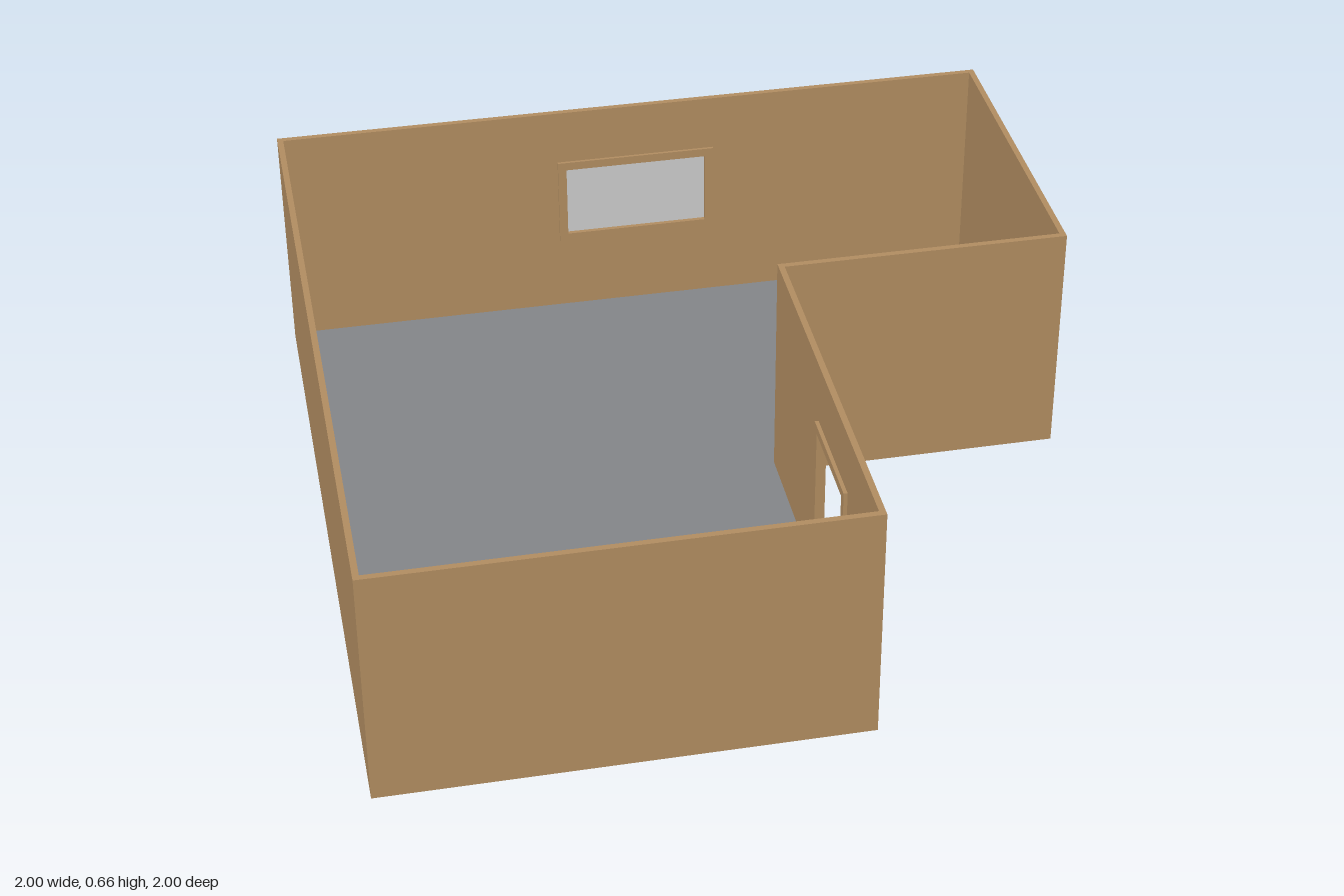
import * as THREE from 'three';

const H = 0.66, T = 0.016, FLOOR = 0.021;
const X = 0.237, Z = -0.08; // outer corner of the notch in the L plan
const material = (color) => new THREE.MeshStandardMaterial({ color });
const brown = material(0xb08c60), floorGrey = material(0x828488), grey = material(0xcccccc);

// Opening rectangles: [u0, u1, y0, y1], u runs along the wall
const door = [0.412, 0.672, FLOOR, 0.475];
const windowHole = [-0.195, 0.207, 0.265, 0.477];

function rectPath(path, [u0, u1, y0, y1]) {
  path.moveTo(u0, y0);
  path.lineTo(u1, y0);
  path.lineTo(u1, y1);
  path.lineTo(u0, y1);
  path.closePath();
  return path;
}

// Upright panel with an optional opening, extruded by its depth
function panel(name, outer, hole, depth, mat = brown) {
  const shape = rectPath(new THREE.Shape(), outer);
  if (hole) shape.holes.push(rectPath(new THREE.Path(), hole));
  const mesh = new THREE.Mesh(new THREE.ExtrudeGeometry(shape, { depth, bevelEnabled: false }), mat);
  mesh.name = name;
  return mesh;
}

// Panel running along x, growing towards +z from z
function alongX(mesh, z) {
  mesh.position.z = z;
  return mesh;
}

// Panel running along z, growing towards -x from x
function alongZ(mesh, x) {
  mesh.rotation.y = -Math.PI / 2;
  mesh.position.x = x;
  return mesh;
}

// Flat L-shaped slab, inset from the outer plan
function slab(name, inset, y, height, mat) {
  const i = inset, s = new THREE.Shape();
  const plan = [[-1 + i, -1 + i], [1 - i, -1 + i], [1 - i, Z - i], [X - i, Z - i], [X - i, 1 - i], [-1 + i, 1 - i]];
  s.setFromPoints(plan.map(([x, z]) => new THREE.Vector2(x, -z)));
  const geo = new THREE.ExtrudeGeometry(s, { depth: height, bevelEnabled: false });
  geo.rotateX(-Math.PI / 2);
  const mesh = new THREE.Mesh(geo, mat);
  mesh.name = name;
  mesh.position.y = y;
  return mesh;
}

export function createModel() {
  const room = new THREE.Group();
  room.name = 'room';

  // Floor on a thin brown underside
  room.add(slab('underside', 0, 0, 0.002, brown));
  room.add(slab('floor', T, 0.002, FLOOR - 0.002, floorGrey));

  // Walls: x walls own the outer corners, z walls fit between them
  const y0 = 0.002;
  room.add(alongX(panel('backWall', [-1, 1, y0, H], windowHole, T), -1));
  room.add(alongX(panel('frontWall', [-1, X, y0, H], null, T), 1 - T));
  room.add(alongX(panel('notchFrontWall', [X - T, 1, y0, H], null, T), Z - T));
  room.add(alongZ(panel('rightWall', [-1 + T, 1 - T, y0, H], null, T), -1 + T));
  room.add(alongZ(panel('leftWall', [-1 + T, Z - T, y0, H], null, T), 1));

  // Door wall: full panel cut down to the ground, with a grey sill in the gap
  const [d0, d1, , dTop] = door;
  room.add(alongZ(panel('doorWall', [Z, 1 - T, y0, H], [d0, d1, 0.0025, dTop], T), X));
  room.add(alongZ(panel('doorSill', [d0, d1, y0, FLOOR], null, T, grey), X));

  // Door casing on the inner face: two legs and a header
  const c = 0.024, casing = new THREE.Group();
  casing.name = 'doorCasing';
  for (const [a, b] of [[d0 - c, d0], [d1, d1 + c]]) {
    casing.add(alongZ(panel('casingLeg', [a, b, FLOOR, dTop], null, 0.01), X - T));
  }
  casing.add(alongZ(panel('casingHeader', [d0 - c, d1 + c, dTop, dTop + c], null, 0.01), X - T));
  room.add(casing);

  // Window pane flush with the outside, casing on the inside
  const [w0, w1, wBottom, wTop] = windowHole;
  room.add(alongX(panel('windowPane', windowHole, null, 0.012, grey), -1));
  room.add(alongX(panel('windowCasing', [w0 - c, w1 + c, wBottom - c, wTop + c], windowHole, 0.008), -1 + T));

  return room;
}
